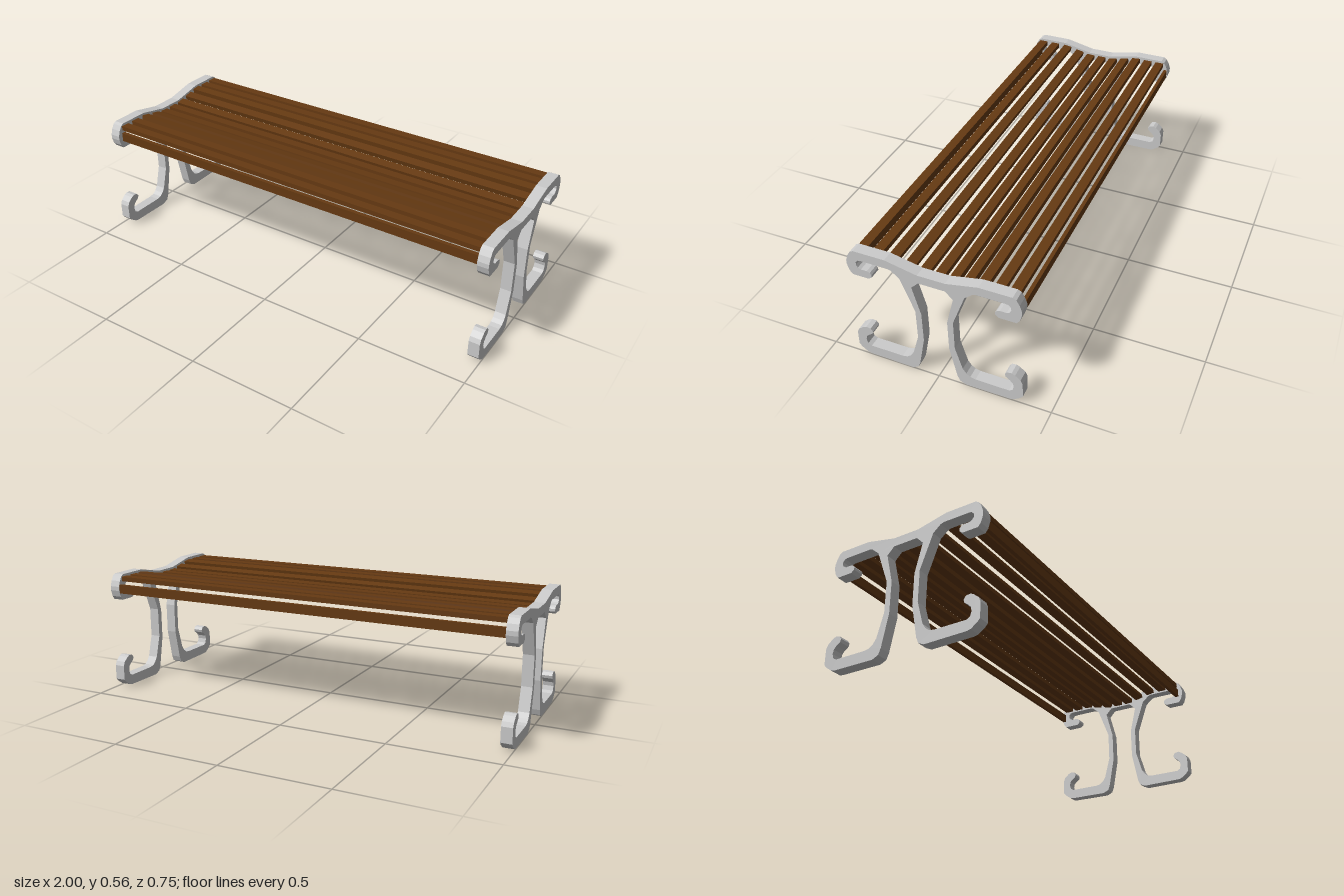
import * as THREE from 'three';

const metal = new THREE.MeshStandardMaterial({ color: 0xcccccc, flatShading: true });
const wood = new THREE.MeshStandardMaterial({ color: 0x663a12, flatShading: true });

// Half outline of an end frame as (z, y), from the top middle around the scrolls to the underside
const HALF = [
  [0.06, 0.535], [0.2, 0.565], [0.34, 0.565], [0.355, 0.557], [0.368, 0.535], [0.377, 0.508],
  [0.377, 0.488], [0.368, 0.458], [0.355, 0.441], [0.282, 0.441], [0.267, 0.453], [0.267, 0.465],
  [0.274, 0.474], [0.287, 0.479], [0.314, 0.479], [0.327, 0.485], [0.334, 0.497], [0.333, 0.511],
  [0.323, 0.522], [0.31, 0.524], [0.19, 0.524], [0.174, 0.519], [0.14, 0.49], [0.083, 0.337],
  [0.083, 0.195], [0.113, 0.09], [0.128, 0.068], [0.145, 0.055], [0.168, 0.05], [0.316, 0.05],
  [0.332, 0.059], [0.338, 0.08], [0.334, 0.099], [0.322, 0.112], [0.304, 0.125], [0.3, 0.139],
  [0.31, 0.153], [0.33, 0.156], [0.345, 0.149], [0.368, 0.13], [0.377, 0.11], [0.377, 0.04],
  [0.365, 0.026], [0.337, 0.006], [0.32, 0.002], [0.125, 0], [0.097, 0.013], [0.086, 0.04],
  [0.057, 0.185], [0.057, 0.33], [0.09, 0.462], [0.058, 0.495],
];

function frameGeometry() {
  const mirrored = HALF.map(([z, y]) => [-z, y]).reverse();
  const points = [...HALF, ...mirrored].map(([z, y]) => new THREE.Vector2(z, y));
  const geometry = new THREE.ExtrudeGeometry(new THREE.Shape(points), { depth: 0.05, bevelEnabled: false });
  return geometry.translate(0, 0, -0.025).rotateY(-Math.PI / 2);
}

// Height of the seat surface line, dipping towards the middle
function seatHeight(z) {
  const t = THREE.MathUtils.clamp((Math.abs(z) - 0.06) / 0.14, 0, 1);
  return 0.514 + 0.029 * t;
}

function slat(name, width, height, y, z, tilt = 0) {
  const mesh = new THREE.Mesh(new THREE.BoxGeometry(1.9, height, width), wood);
  mesh.name = name;
  mesh.position.set(0, y, z);
  mesh.rotation.x = tilt;
  return mesh;
}

export function createModel() {
  const bench = new THREE.Group();
  bench.name = 'bench';

  // Cast end frames
  const geometry = frameGeometry();
  for (const side of [-1, 1]) {
    const frame = new THREE.Mesh(geometry, metal);
    frame.name = side > 0 ? 'leftEndFrame' : 'rightEndFrame';
    frame.position.x = side * 0.975;
    bench.add(frame);
  }

  // Seat slats following the dip of the frames
  const seat = new THREE.Group();
  seat.name = 'seatSlats';
  const rows = [-0.33, -0.267, -0.202, -0.139, -0.075, -0.011, 0.053, 0.117, 0.188, 0.259, 0.328];
  for (const z of rows) {
    const slope = (seatHeight(z + 0.02) - seatHeight(z - 0.02)) / 0.04;
    seat.add(slat('seatSlat', 0.042, 0.022, seatHeight(z), z, -Math.atan(slope)));
  }
  bench.add(seat);

  // Upright slats along the long edges
  bench.add(slat('frontEdgeSlat', 0.018, 0.042, 0.497, 0.345));
  bench.add(slat('backEdgeSlat', 0.016, 0.042, 0.497, -0.365));
  return bench;
}
